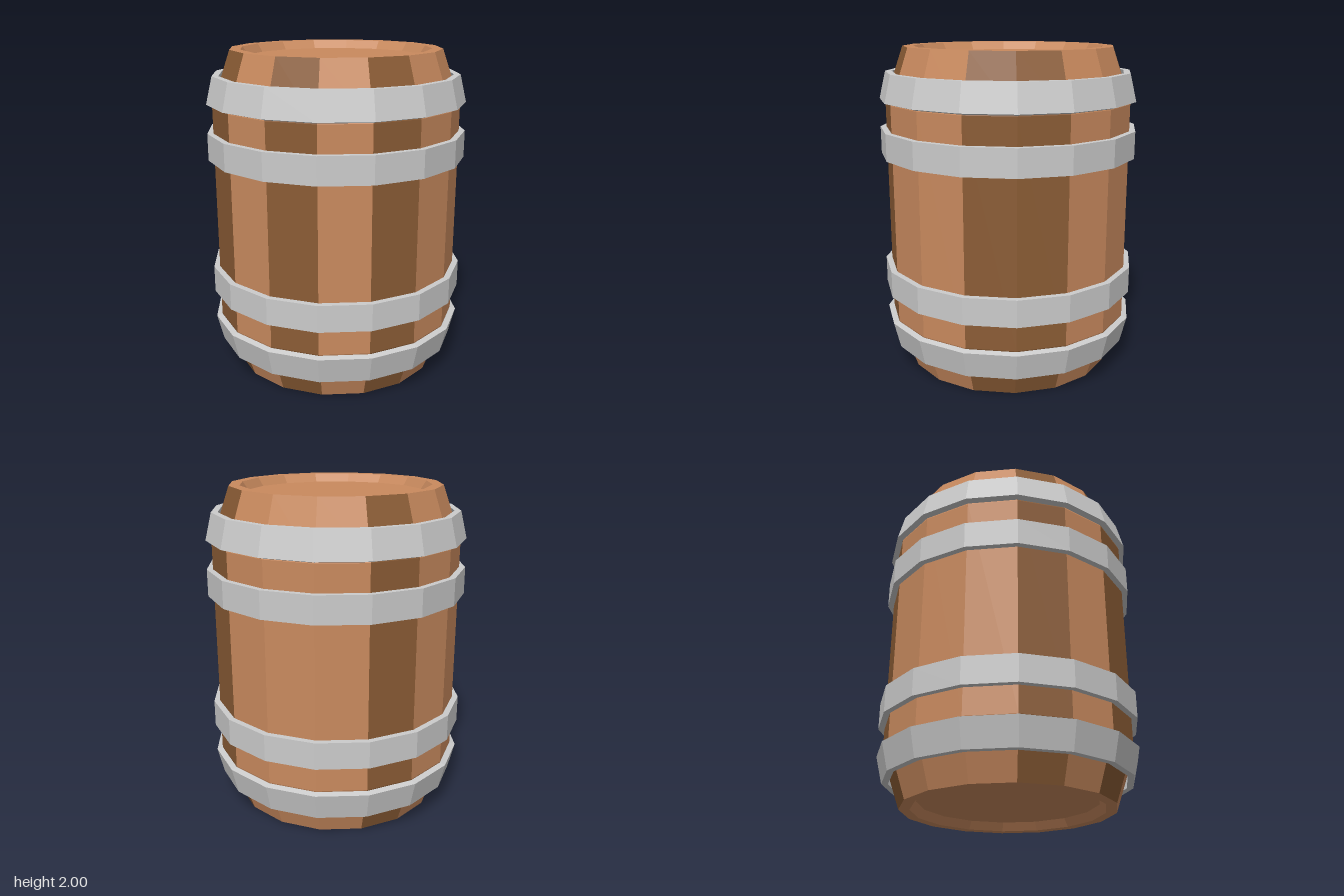
import * as THREE from 'three';
import { mergeGeometries } from 'three/addons/utils/BufferGeometryUtils.js';

const SIDES = 16;
const STEP = (Math.PI * 2) / SIDES;

const material = (color) => new THREE.MeshStandardMaterial({ color, flatShading: true });

// Revolves a [radius, y] profile; points running upwards face outwards
function lathe(profile, segments = SIDES, start = 0) {
  const points = profile.map(([r, y]) => new THREE.Vector2(r, y));
  return new THREE.LatheGeometry(points, segments, start, segments * STEP);
}

// Upside-down copy of a profile, reversed so it still faces outwards
const flip = (profile) => profile.map(([r, y]) => [r, 2 - y]).reverse();

export function createModel() {
  const barrel = new THREE.Group();
  barrel.name = 'barrel';
  const lightWood = material(0xc98a5e);
  const darkWood = material(0x8b5c35);
  const metal = material(0xcccccc);

  const add = (name, geometry, mat) => {
    const mesh = new THREE.Mesh(geometry, mat);
    mesh.name = name;
    barrel.add(mesh);
  };

  // Staves: one flat strip per side, some of darker wood
  const staveProfile = [[0.645, 0], [0.76, 0.33], [0.76, 1.67], [0.645, 2]];
  const darkSides = [0, 2, 5, 6, 10, 14];
  const light = [];
  const dark = [];
  for (let i = 0; i < SIDES; i++) {
    (darkSides.includes(i) ? dark : light).push(lathe(staveProfile, 1, i * STEP));
  }
  add('lightStaves', mergeGeometries(light), lightWood);
  add('darkStaves', mergeGeometries(dark), darkWood);

  // Ends: flat rim, sloping inner wall and recessed lid
  const end = [[0.645, 2], [0.58, 2], [0.545, 1.95], [0, 1.95]];
  add('topLid', lathe(end), lightWood);
  add('bottomLid', lathe(flip(end)), lightWood);

  // Hoops: tapered ones on the shoulders, straight ones on the body
  const taperedHoop = [[0.76, 1.675], [0.795, 1.685], [0.755, 1.85], [0.715, 1.85], [0.76, 1.675]];
  const straightHoop = [[0.755, 1.345], [0.797, 1.345], [0.797, 1.51], [0.755, 1.51], [0.755, 1.345]];
  add('topShoulderHoop', lathe(taperedHoop), metal);
  add('upperHoop', lathe(straightHoop), metal);
  add('lowerHoop', lathe(flip(straightHoop)), metal);
  add('bottomShoulderHoop', lathe(flip(taperedHoop)), metal);

  return barrel;
}
